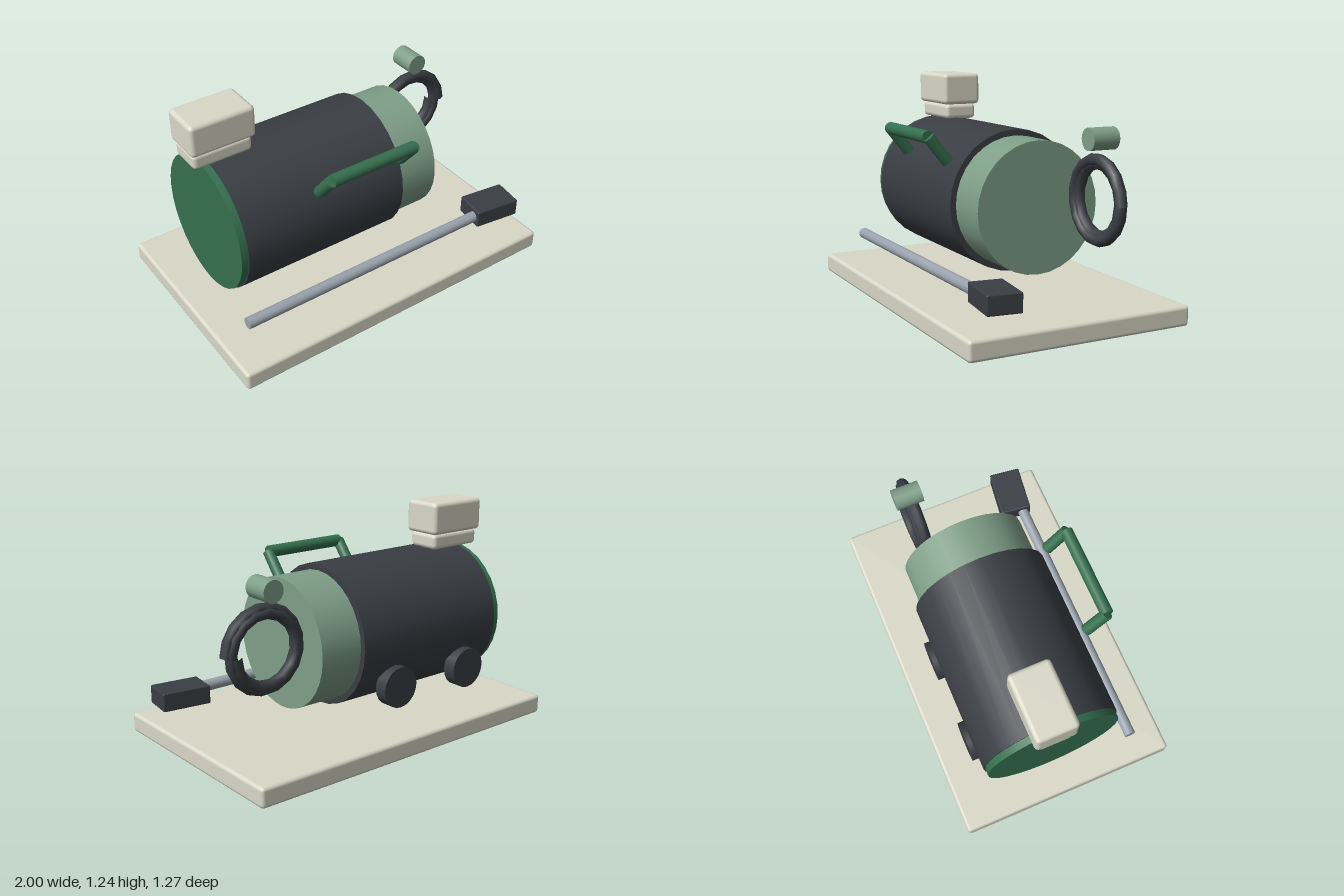
import * as THREE from 'three';
import { RoundedBoxGeometry } from 'three/addons/geometries/RoundedBoxGeometry.js';

const material = (name, color) => Object.assign(new THREE.MeshStandardMaterial({ color }), { name });

export function createModel() {
  const group = new THREE.Group();
  const cream = material('cream', 0xd9d8c8);
  const charcoal = material('charcoal', 0x3a3e44);
  const sage = material('sage', 0x7f9f88);
  const green = material('green', 0x35704f);
  const steel = material('steel', 0x9aa3ad);

  const add = (name, geometry, mat, x = 0, y = 0, z = 0) => {
    const mesh = new THREE.Mesh(geometry, mat);
    mesh.name = name;
    mesh.position.set(x, y, z);
    group.add(mesh);
    return mesh;
  };
  const block = (name, mat, w, h, d, r, x, y, z) =>
    add(name, new RoundedBoxGeometry(w, h, d, 2, r), mat, x, y, z);
  // Round bar between two points
  const rod = (name, mat, r, sides, from, to) => {
    const a = new THREE.Vector3(...from), b = new THREE.Vector3(...to);
    const dir = b.clone().sub(a);
    const mesh = add(name, new THREE.CylinderGeometry(r, r, dir.length(), sides), mat);
    mesh.position.copy(a).add(b).multiplyScalar(0.5);
    mesh.quaternion.setFromUnitVectors(new THREE.Vector3(0, 1, 0), dir.normalize());
    return mesh;
  };

  // Base plate
  block('base', cream, 2, 0.11, 1.27, 0.02, 0, 0.055, 0);

  // Horizontal drum with its two ends
  const cy = 0.58, cz = -0.05;
  rod('body', charcoal, 0.394, 28, [-0.785, cy, cz], [0.2, cy, cz]);
  rod('dustBin', sage, 0.36, 32, [0.19, cy, cz], [0.455, cy, cz]);
  rod('endCap', green, 0.385, 32, [-0.825, cy, cz], [-0.78, cy, cz]);

  // Stacked blocks on top
  block('lowerBlock', cream, 0.345, 0.09, 0.195, 0.025, -0.712, 1.012, -0.087);
  block('upperBlock', cream, 0.375, 0.185, 0.235, 0.025, -0.71, 1.148, -0.087);

  // Carrying handle
  rod('handleBar', green, 0.035, 16, [-0.35, 0.953, 0.453], [0.17, 0.953, 0.453]);
  for (const x of [-0.35, 0.17]) {
    rod('handleLeg', green, 0.033, 16, [x, 0.953, 0.453], [x, 0.818, 0.343]);
  }

  // Wand and floor head
  rod('wand', steel, 0.032, 16, [-0.87, 0.245, 0.432], [0.72, 0.245, 0.432]);
  const head = block('floorHead', charcoal, 0.277, 0.105, 0.185, 0.008, 0.818, 0.245, 0.403);
  head.rotation.y = -0.13;

  // Coiled hose: a spiral that shrinks as it goes back
  const turns = 2, steps = 28, points = [];
  for (let i = 0; i <= steps; i++) {
    const t = i / steps, a = t * turns * Math.PI * 2, r = 0.222 - 0.04 * t;
    points.push(new THREE.Vector3(Math.cos(a) * r, Math.sin(a) * r, -0.025 * t));
  }
  const coil = new THREE.TubeGeometry(new THREE.CatmullRomCurve3(points), 32, 0.033, 8);
  add('hose', coil, charcoal, 0.705, 0.64, -0.244);

  // Hose grip
  rod('hoseGrip', sage, 0.06, 20, [0.705, 0.962, -0.19], [0.705, 0.962, -0.345]);

  // Rear wheels
  for (const x of [-0.555, -0.038]) {
    rod('wheel', charcoal, 0.115, 20, [x, 0.33, -0.39], [x, 0.33, -0.465]);
  }

  return group;
}
